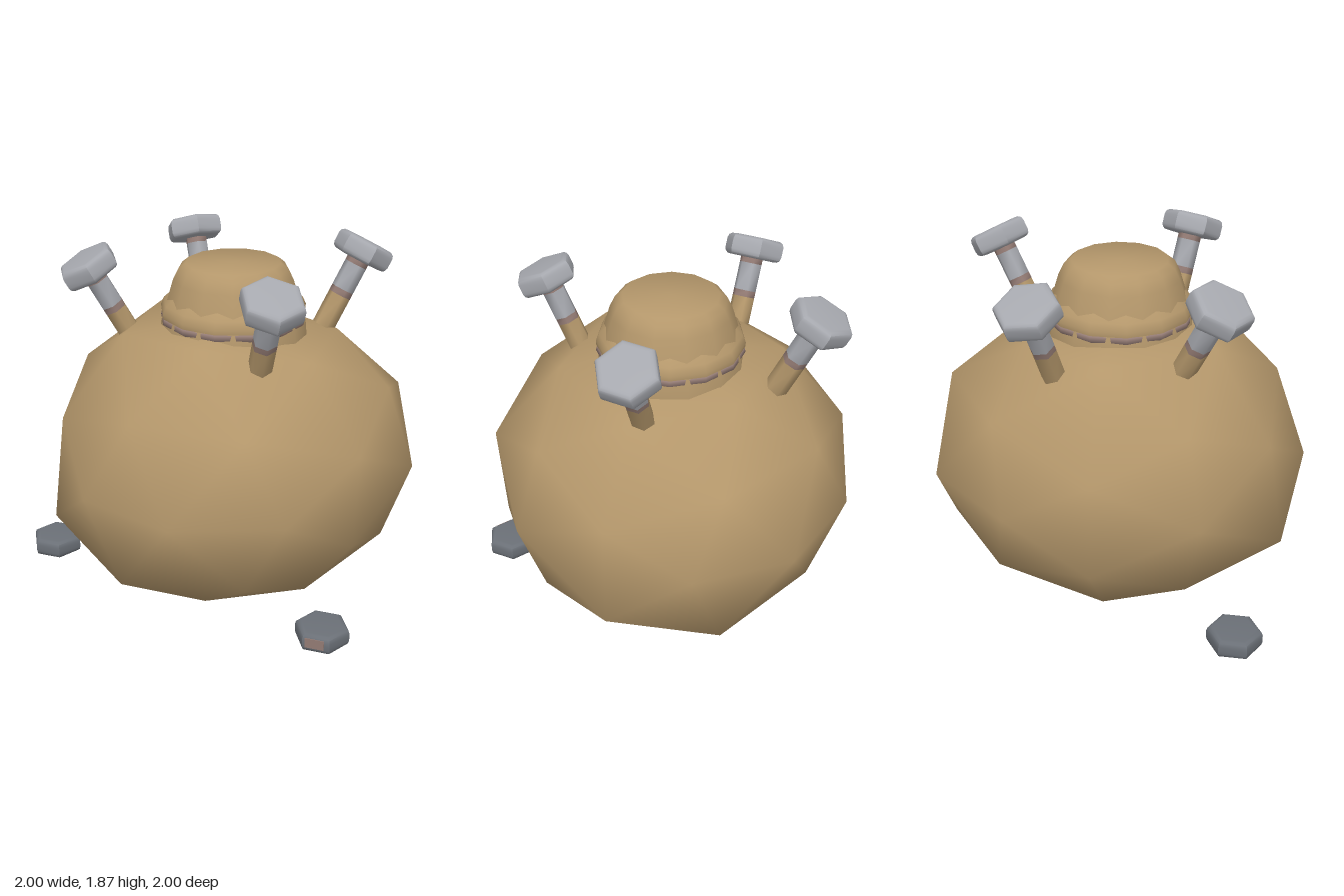
import * as THREE from 'three';
import { mergeVertices, toCreasedNormals } from 'three/addons/utils/BufferGeometryUtils.js';

const flat = (name, color) => {
  const m = new THREE.MeshStandardMaterial({ color });
  m.name = name;
  return m;
};

export function createModel() {
  const clay = flat('tan clay', 0xb4976b);
  const steel = flat('light steel', 0xa6a8ae);
  const rust = flat('dull rust', 0x937b74);
  const darkSteel = flat('dark steel', 0x6b7077);

  const model = new THREE.Group();
  model.name = 'studdedPot';

  const add = (parent, name, geometry, material) => {
    const mesh = new THREE.Mesh(geometry, material);
    mesh.name = name;
    parent.add(mesh);
    return mesh;
  };
  const lathe = (points, sides, start = 0) =>
    new THREE.LatheGeometry(points.map(([r, y]) => new THREE.Vector2(r, y)), sides, start);

  // Lumpy low-poly body: an icosphere with its pole along z, pressed flat above and below
  let body = new THREE.IcosahedronGeometry(1, 1);
  body.deleteAttribute('uv');
  body.deleteAttribute('normal');
  body = mergeVertices(body, 1e-3);
  body.rotateX(Math.atan(2 / (1 + Math.sqrt(5)))).rotateZ(Math.PI / 2);
  body.scale(0.995, 0.83, 1).translate(-0.054, 0.73, 0);
  const p = body.attributes.position;
  for (let i = 0; i < p.count; i++) {
    let [x, y, z] = [p.getX(i), p.getY(i), p.getZ(i)];
    y = THREE.MathUtils.clamp(y, 0.015, 1.49);
    // shoulders: higher at the front left, lower at the right and back
    if (y > 1.3) y += z < -0.4 ? -0.05 : x > 0.4 ? -0.02 : z > 0.4 || x < -0.4 ? 0.03 : 0;
    // the facets round the front and back poles bulge out, more so below
    if (Math.abs(z) > 0.8 && Math.abs(z) < 0.95) {
      if (y < 0.5) {
        z *= 1.07;
        y -= 0.04;
      } else if (y < 0.9) z *= 1.04;
      else z *= z > 0 ? 0.97 : 1.03;
    }
    if (x > 0.8 && y < 0.6) x -= 0.03;
    p.setXYZ(i, x, y, z);
  }
  body.computeVertexNormals();
  add(model, 'body', body, clay);

  // Neck with a rounded, closed top
  const neck = new THREE.Group();
  neck.name = 'neck';
  neck.position.x = -0.05;
  model.add(neck);
  const sides = 13;
  const scallop = Math.PI / 2;
  const cap = [[0.39, 1.38], [0.382, 1.47], [0.352, 1.57], [0.315, 1.69], [0.288, 1.745], [0.25, 1.775], [0, 1.775]];
  add(neck, 'neckCap', toCreasedNormals(lathe(cap, sides, scallop + Math.PI / sides), 0.8), clay);

  // Rings whose corners poke through the flats of the neck, making scallops
  const collar = [[0.34, 1.495], [0.385, 1.505], [0.387, 1.53], [0.37, 1.57], [0.325, 1.61]];
  add(neck, 'collar', toCreasedNormals(lathe(collar, sides, scallop), 0.8), clay);
  const band = [[0.36, 1.455], [0.388, 1.475], [0.382, 1.5], [0.35, 1.505]];
  add(neck, 'rustBand', lathe(band, sides, scallop), rust);

  // Hexagon with soft bevels, used for bolt heads and loose nuts
  const hexagon = (r, h) => {
    const half = [[r, 0], [r, h - 0.03], [r - 0.006, h - 0.012], [r - 0.02, h - 0.002], [r - 0.035, h], [0, h]];
    const lower = half.slice(1).reverse().map(([x, y]) => [x, -y]);
    return toCreasedNormals(lathe([...lower, ...half], 6), 1.0);
  };

  // Bolts: head centre and axis direction
  const headShape = hexagon(0.163, 0.057);
  const bolts = [
    [[-0.748, 1.755, -0.315], [-0.45, 1, -0.17]],
    [[-0.565, 1.742, 0.55], [-0.28, 1, 0.46]],
    [[0.572, 1.76, 0.305], [0.42, 1, 0.19]],
    [[0.218, 1.76, -0.698], [0.2, 1, -0.52]],
  ];
  // Shaft sections along the axis: name, near end, far end, colour
  const sections = [
    ['shaftNeck', 0.04, 0.085, rust],
    ['shaft', 0.085, 0.235, steel],
    ['shaftRust', 0.235, 0.27, rust],
    ['shaftFoot', 0.27, 0.46, clay],
  ];
  for (const [position, axis] of bolts) {
    const bolt = new THREE.Group();
    bolt.name = 'bolt';
    bolt.position.set(...position);
    bolt.quaternion.setFromUnitVectors(new THREE.Vector3(0, 1, 0), new THREE.Vector3(...axis).normalize());
    add(bolt, 'boltHead', headShape, steel);
    for (const [name, from, to, material] of sections) {
      const shaft = toCreasedNormals(new THREE.CylinderGeometry(0.063, 0.063, to - from, 6), 1.2);
      add(bolt, name, shaft, material).position.y = -(from + to) / 2;
    }
    model.add(bolt);
  }

  // Loose nuts on the ground
  const nutShape = hexagon(0.144, 0.051);
  for (const [x, z] of [[-0.81, 0.71], [0.872, 0.21]])
    add(model, 'looseNut', nutShape, darkSteel).position.set(x, 0.055, z);

  // Rust stain on one face of the left nut
  const stain = add(model, 'rustStain', new THREE.BoxGeometry(0.1, 0.055, 0.004), rust);
  stain.position.set(0.865 + 0.1255 * Math.sin(Math.PI / 6), 0.062, 0.214 + 0.1255 * Math.cos(Math.PI / 6));
  stain.rotation.y = Math.PI / 6;

  return model;
}
